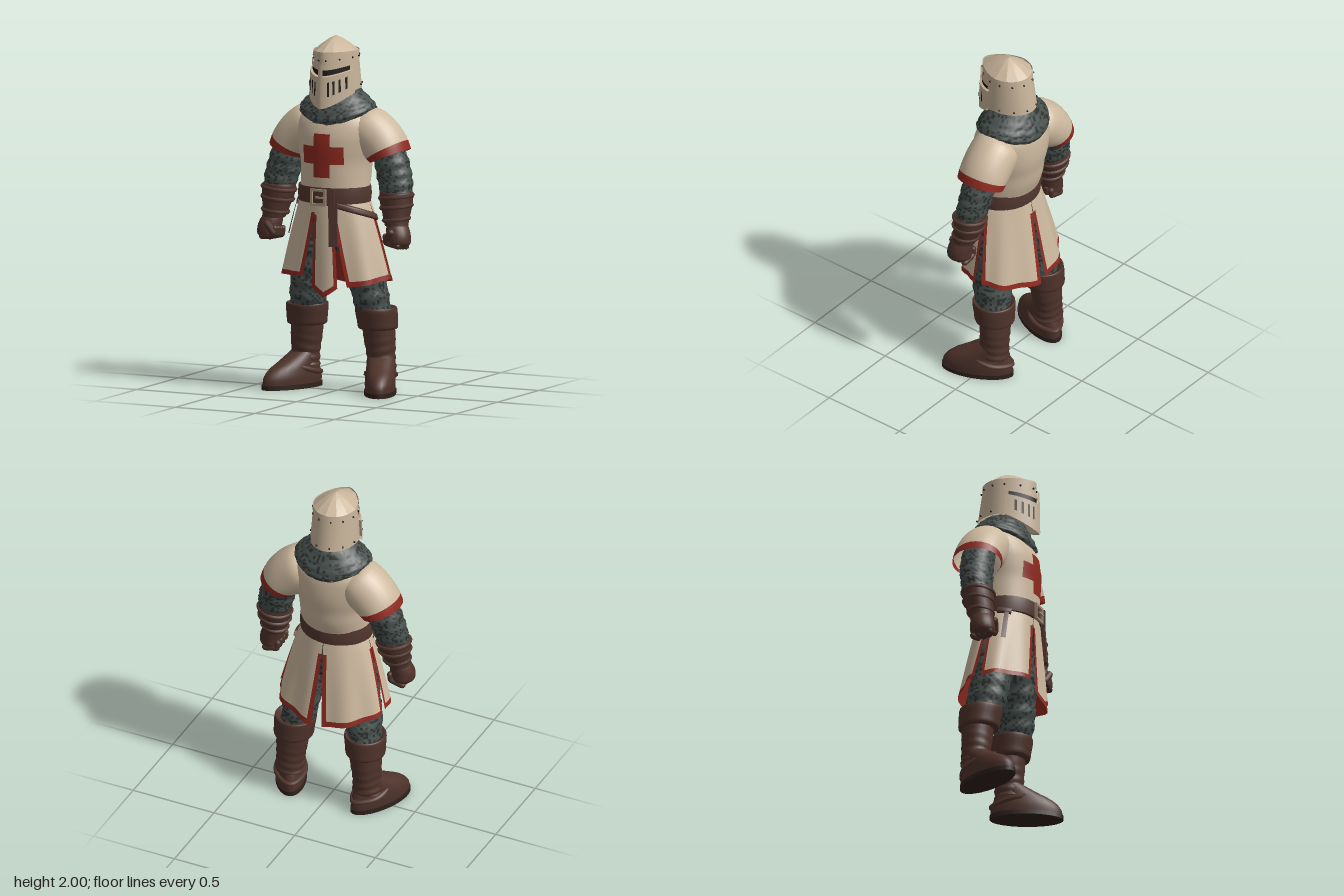
import * as THREE from 'three';
import { toCreasedNormals } from 'three/addons/utils/BufferGeometryUtils.js';

const { sin, cos, abs, sign, pow, sqrt, max, min, floor, PI } = Math;
const mat = (name, color, side = THREE.DoubleSide) => {
  const m = new THREE.MeshStandardMaterial({ color, side });
  m.name = name;
  return m;
};

// Catmull-Rom blend through rows of numbers, t in 0..1
function at(rows, t) {
  const n = rows.length - 1, f = min(max(t, 0), 1) * n, i = min(floor(f), n - 1), s = f - i;
  const [a, b, c, d] = [max(i - 1, 0), i, i + 1, min(i + 2, n)].map(k => rows[k]);
  return b.map((_, k) => b[k] + 0.5 * s * (c[k] - a[k] + s * (2 * a[k] - 5 * b[k] + 4 * c[k] - d[k]
    + s * (3 * (b[k] - c[k]) + d[k] - a[k]))));
}

// Surface from fn(u, v) -> [x, y, z]; u runs left to right, v downward; pick chooses a material per cell
function skin(fn, nu, nv, pick = () => 0, count = 1, wrap = false) {
  const cols = wrap ? nu : nu + 1, pos = [], lists = Array.from({ length: count }, () => []);
  for (let j = 0; j <= nv; j++) for (let i = 0; i < cols; i++) pos.push(...fn(i / nu, j / nv));
  for (let j = 0; j < nv; j++) for (let i = 0; i < nu; i++) {
    const k = (i + 1) % cols, a = j * cols + i, d = j * cols + k;
    lists[pick(i, j, nu, nv)].push(a, a + cols, d, a + cols, d + cols, d);
  }
  const g = new THREE.BufferGeometry();
  g.setAttribute('position', new THREE.Float32BufferAttribute(pos, 3));
  g.setIndex(lists.flat());
  let start = 0;
  if (count > 1) lists.forEach((l, m) => { g.addGroup(start, l.length, m); start += l.length; });
  g.computeVertexNormals();
  return g;
}

// Limb ring [cx, cy, cz, r, rz, tilt]
const ring = (k, a, o = 0) => {
  const [x, y, z, r, rz, th = 0] = k, w = (r + o) * sin(a);
  return [x + w * cos(th), y + w * sin(th), z + (rz + o) * cos(a)];
};
const limb = (rows, nu, nv, bump = () => 0, pick, count) =>
  skin((u, v) => ring(at(rows, v), u * 2 * PI, bump(u, v)), nu, nv, pick, count, true);

// Wriggling dark flecks that read as chain mail
const mailPick = (i, j) => sin(i * 1.7 + 3 * sin(j * 0.9)) * sin(j * 1.3 + 2 * sin(i * 0.7)) > 0.3 ? 1 : 0;
const mailBump = (u, v) => 0.003 * sin(u * 88) * sin(v * 75) + 0.003 * sin(v * 34 + 2 * sin(u * 6.283));

const torsoRows = [
  [0, 1.62, -0.02, 0.15, 0.13], [0, 1.54, -0.01, 0.235, 0.172], [0, 1.46, 0, 0.24, 0.192], [0, 1.38, 0.005, 0.225, 0.195],
  [0, 1.30, 0.012, 0.205, 0.188], [0, 1.22, 0.018, 0.2, 0.182], [0, 1.14, 0.03, 0.198, 0.168]];

const skirtPoint = (a, y, o = 0) => {
  const v = max(0, (1.1 - y) / 0.5), r = o + 0.01 * v * sin(a * 9);
  return [(0.195 + 0.14 * pow(v, 0.85) + r) * sin(a), y, 0.03 * (1 - v) + (0.165 + 0.06 * v + r) * cos(a)];
};

// Helmet wall: keeled in front, round behind, t from rim (0) to lower edge (1)
const helmPoint = (a, t, o = 0, grow = 1) => {
  const s = sin(a), c = cos(a), e = c > 0 ? 1.25 : 1;
  const x = sign(s) * pow(abs(s), e) * (0.122 + 0.013 * t + o) * grow;
  const zr = sign(c) * pow(abs(c), e) * (c > 0 ? 0.17 + 0.005 * t + o : 0.135 + 0.035 * t + o) * grow;
  return [x, 1.92 - 0.215 * t - 0.09 * t * pow(max(zr, 0) / 0.18, 1.4), 0.02 + zr];
};

export function createModel() {
  const root = new THREE.Group();
  root.name = 'knight';
  const cloth = mat('cream cloth', 0xcdb99f), helm = mat('helmet metal', 0xc8b49a), red = mat('red trim', 0x8f2a20);
  const lining = mat('red lining', 0x8f2a20, THREE.BackSide), clothOut = mat('outer cream cloth', 0xcdb99f, THREE.FrontSide);
  const trimOut = mat('outer red trim', 0x8f2a20, THREE.FrontSide);
  const mail = mat('mail', 0x48514e), mailDark = mat('dark mail', 0x2d3331), belt = mat('belt leather', 0x53372f);
  const boot = mat('boot leather', 0x4f332b), sole = mat('dark sole', 0x2f211d), dark = mat('openings', 0x1c1816);
  const buckle = mat('buckle metal', 0xa8937c), mails = [mail, mailDark];

  const add = (name, g, m, p = [0, 0, 0], r = [0, 0, 0], s = [1, 1, 1]) => {
    g.applyMatrix4(new THREE.Matrix4().compose(new THREE.Vector3(...p),
      new THREE.Quaternion().setFromEuler(new THREE.Euler(...r)), new THREE.Vector3(...s)));
    const mesh = new THREE.Mesh(g, m);
    mesh.name = name;
    root.add(mesh);
    return mesh;
  };
  // Left part plus its mirror image
  const pair = (name, g, m, ...place) => {
    const left = add(name + 'Left', g, m, ...place), h = left.geometry.clone().scale(-1, 1, 1);
    const n = h.index ? h.index.count : h.attributes.position.count;
    const id = Array.from({ length: n }, (_, i) => h.index ? h.index.getX(i) : i);
    for (let i = 0; i < n; i += 3) [id[i + 1], id[i + 2]] = [id[i + 2], id[i + 1]];
    h.setIndex(id);
    add(name + 'Right', h, m);
  };

  // Tunic body and chest cross
  add('tunicBody', limb(torsoRows, 40, 24), cloth);
  const chest = (x0, x1, y0, y1) => skin((u, v) => {
    const x = x0 + (x1 - x0) * u, y = y1 + (y0 - y1) * v, [, , cz, rx, rz] = at(torsoRows, (1.62 - y) / 0.48);
    return [x, y, cz + rz * sqrt(1 - (x / rx) ** 2) + 0.005];
  }, 14, 8);
  add('crossUpright', chest(-0.05, 0.05, 1.22, 1.465), red);
  add('crossArmLeft', chest(0.05, 0.125, 1.295, 1.395), red);
  add('crossArmRight', chest(-0.125, -0.05, 1.295, 1.395), red);

  // Short sleeves with red hems
  pair('sleeve', limb([[0.13, 1.48, -0.02, 0.115, 0.13, 1.25], [0.175, 1.475, -0.025, 0.135, 0.14, 1.1],
    [0.235, 1.43, -0.028, 0.138, 0.142, 0.85], [0.285, 1.38, -0.03, 0.128, 0.142, 0.55], [0.315, 1.335, -0.03, 0.115, 0.14, 0.38]],
  28, 16, () => 0, (i, j) => j > 12 ? 1 : 0, 2), [cloth, red]);

  // Mail arms, bracers and gauntlets
  pair('mailArm', limb([[0.27, 1.45, -0.025, 0.09, 0.09], [0.32, 1.32, -0.025, 0.1, 0.092],
    [0.35, 1.21, -0.015, 0.101, 0.088], [0.37, 1.11, 0, 0.088, 0.08]], 40, 26, mailBump, mailPick, 2), mails);
  pair('bracer', limb([[0.366, 1.13, 0, 0.07, 0.065], [0.366, 1.142, 0, 0.094, 0.086], [0.369, 1.09, 0.004, 0.095, 0.087],
    [0.374, 1.04, 0.012, 0.084, 0.08], [0.38, 0.98, 0.025, 0.07, 0.07], [0.385, 0.955, 0.03, 0.066, 0.066]], 24, 18), boot);
  [[0.368, 1.115, 0.002, 0.093], [0.372, 1.06, 0.008, 0.087], [0.379, 0.99, 0.022, 0.072]].forEach(([x, y, z, r]) =>
    pair('bracerStrap', new THREE.TorusGeometry(r, 0.012, 6, 24), belt, [x, y, z], [PI / 2, 0.12, 0], [1, 0.95, 1]));
  pair('fist', limb([[0.385, 0.97, 0.03, 0.055, 0.058], [0.395, 0.94, 0.038, 0.064, 0.066], [0.405, 0.895, 0.045, 0.068, 0.07],
    [0.405, 0.85, 0.045, 0.06, 0.064], [0.4, 0.825, 0.045, 0.002, 0.002]], 20, 14), boot);
  for (let i = 0; i < 4; i++) {
    pair('finger', new THREE.CapsuleGeometry(0.019, 0.065, 3, 8), boot, [0.392, 0.845 + 0.004 * i, -0.005 + 0.033 * i], [0, 0, 1.35]);
    pair('fingerTip', new THREE.CapsuleGeometry(0.017, 0.035, 3, 8), boot, [0.35, 0.87 + 0.004 * i, -0.005 + 0.033 * i], [0, 0, 0.15]);
  }
  pair('thumb', new THREE.CapsuleGeometry(0.021, 0.06, 3, 8), boot, [0.37, 0.9, 0.103], [0.25, 0, -0.6]);

  // Mail collar, drooping at front and back
  const collar = [[0, 1.72, -0.01, 0.09, 0.09], [0, 1.7, -0.01, 0.122, 0.125], [0, 1.655, -0.01, 0.175, 0.155],
    [0, 1.62, -0.01, 0.212, 0.178], [0, 1.59, -0.008, 0.221, 0.189], [0, 1.575, -0.008, 0.205, 0.176]];
  add('mailCollar', skin((u, v) => {
    const a = u * 2 * PI, p = ring(at(collar, v), a, mailBump(u, v));
    p[1] -= (cos(a) > 0 ? 0.068 : 0.05) * cos(a) ** 2 * v;
    return p;
  }, 72, 18, mailPick, 2, true), mails);

  // Great helm: crown, wall, visor plate, bands and openings
  const patch = (a0, a1, t0, t1, o, nu = 20, nv = 4) =>
    skin((u, v) => helmPoint(a0 + (a1 - a0) * u, t0 + (t1 - t0) * v, o), nu, nv);
  add('helmetWall', toCreasedNormals(skin((u, v) => helmPoint(u * 2 * PI, v), 40, 10, undefined, 1, true), 0.5), helm);
  add('helmetCrown', toCreasedNormals(skin((u, v) => {
    const p = helmPoint(u * 2 * PI, 0, 0.003, max(v, 0.002));
    return [p[0], 1.917 + 0.083 * (1 - pow(v, 1.3)), p[2]];
  }, 12, 3, undefined, 1, true), 0.25), helm);
  add('rimBand', skin((u, v) => helmPoint(u * 2 * PI, -0.01 + 0.1 * v, 0.004), 40, 2, undefined, 1, true), helm);
  add('eyeSlit', patch(-1.15, 1.15, 0.33, 0.43, 0.003), dark);
  add('browBand', patch(-1.3, 1.3, 0.22, 0.32, 0.008), helm);
  add('visorPlate', patch(-1.25, 1.25, 0.44, 1, 0.017, 24, 6), helm);
  add('visorTopEdge', skin((u, v) => helmPoint(-1.25 + 2.5 * u, 0.44, 0.017 * v), 24, 1), helm);
  add('visorLowerEdge', skin((u, v) => helmPoint(-1.25 + 2.5 * u, 1, 0.017 * (1 - v)), 24, 1), helm);
  add('noseRidge', patch(-0.16, 0.16, 0.2, 0.98, 0.022, 4, 8), helm);
  [0.36, 0.54, 0.73, 0.94].forEach(a => pair('breathSlot', patch(a - 0.035, a + 0.035, 0.54, 0.8, 0.021, 2, 4), dark));
  for (let i = 0; i < 6; i++) {
    const a = 0.25 + i * 0.52;
    [[a, 0.15], [a, 0.9]].forEach(([b, t]) => {
      if (t < 0.5 || b > 1.3) pair('rivet', new THREE.SphereGeometry(0.006, 6, 4), dark, helmPoint(b, t, 0.005));
    });
  }

  // Skirt panels [top from, top to, hem from, hem to, hem heights, point, columns]
  const panels = [['frontPanel', -0.2, 0.32, -0.15, 0.33, 0.605, 0.605, 0.055, 8],
    ['sidePanelLeft', 0.27, 1.64, 0.5, 1.6, 0.61, 0.65, 0, 16], ['sidePanelRight', -1.64, -0.18, -1.6, -0.36, 0.64, 0.66, 0, 16],
    ['backPanelLeft', 1.64, 3.14, 1.78, 3.05, 0.64, 0.57, 0, 16], ['backPanelRight', -3.14, -1.64, -3.05, -1.78, 0.57, 0.64, 0, 16]];
  const hemPick = (i, j, nu, nv) => (i === 0 || i === nu - 1) && j > 2 || j === nv - 1 ? 1 : 0;
  panels.forEach(([name, a0, a1, b0, b1, h0, h1, tip, nu]) => {
    const g = skin((u, v) => {
      const a = (a0 + (a1 - a0) * u) * (1 - v) + (b0 + (b1 - b0) * u) * v;
      const hem = h0 + (h1 - h0) * u - tip * (1 - abs(2 * u - 1));
      return skirtPoint(a, 1.1 + (hem - 1.1) * v, name === 'frontPanel' ? 0.004 : 0);
    }, nu, 17, hemPick, 2);
    add(name, g, [clothOut, trimOut]);
    add(name + 'Lining', g.clone(), [lining, lining]);
  });

  // Belt, buckle and hanging straps
  add('belt', toCreasedNormals(skin((u, v) => {
    const k = [[1.16, -0.02], [1.165, 0], [1.12, 0.005], [1.075, 0], [1.07, -0.02]][Math.round(v * 4)];
    return ring([0, k[0], 0.035, 0.208, 0.175], u * 2 * PI, k[1]);
  }, 40, 4, undefined, 1, true), 0.6), belt);
  const frame = new THREE.Shape().moveTo(-0.048, -0.047).lineTo(0.048, -0.047).lineTo(0.048, 0.047).lineTo(-0.048, 0.047).closePath();
  frame.holes.push(new THREE.Path().moveTo(-0.035, -0.034).lineTo(-0.035, 0.034).lineTo(0.035, 0.034).lineTo(0.035, -0.034).closePath());
  add('buckleFrame', new THREE.ExtrudeGeometry(frame, { depth: 0.014, bevelEnabled: false }), buckle, [-0.01, 1.11, 0.21]);
  add('bucklePin', new THREE.BoxGeometry(0.06, 0.01, 0.01), buckle, [0.005, 1.11, 0.224]);
  add('beltLoop', new THREE.BoxGeometry(0.022, 0.1, 0.02), belt, [0.075, 1.115, 0.207], [0, 0.3, 0]);
  add('beltEnd', new THREE.BoxGeometry(0.05, 0.25, 0.016), belt, [0.08, 0.965, 0.212], [-0.07, 0.2, 0.04]);
  const strap = (name, a0, a1, y0, y1, h) => add(name, skin((u, v) =>
    skirtPoint(a0 + (a1 - a0) * u, y0 + (y1 - y0) * u + h * (0.5 - v), 0.015 - 0.02 * abs(2 * v - 1) ** 6), 16, 8), belt);
  strap('hipStrapLeft', 0.15, 1.75, 1.085, 0.99, 0.045);
  strap('hipStrapRight', -1.45, -1.0, 1.08, 1.07, 0.045);
  add('sideStrap', skin((u, v) => skirtPoint(-1.2 + 0.13 * u, 1.08 - 0.2 * v, 0.013), 3, 6), belt);

  // Mail hips and legs
  add('mailHips', limb([[0, 1.08, 0.02, 0.17, 0.14], [0, 0.95, 0.01, 0.2, 0.14], [0, 0.84, 0, 0.19, 0.12], [0, 0.78, 0, 0.01, 0.01]],
    48, 16, () => 0, mailPick, 2), mails);
  pair('mailLeg', limb([[0.11, 0.95, 0.005, 0.1, 0.12], [0.145, 0.8, 0.005, 0.108, 0.122], [0.175, 0.66, -0.005, 0.102, 0.117],
    [0.195, 0.54, -0.02, 0.1, 0.113], [0.21, 0.43, -0.04, 0.09, 0.1]], 44, 34, mailBump, mailPick, 2), mails);

  // Boots: cuff, wrinkled shaft, foot, strap and sole
  pair('bootCuff', limb([[0.212, 0.46, -0.045, 0.088, 0.09], [0.214, 0.478, -0.046, 0.112, 0.115], [0.216, 0.46, -0.047, 0.118, 0.122],
    [0.22, 0.4, -0.054, 0.114, 0.116], [0.222, 0.36, -0.058, 0.11, 0.112], [0.223, 0.352, -0.06, 0.085, 0.085]], 28, 15), boot);
  pair('bootShaft', limb([[0.222, 0.39, -0.06, 0.092, 0.09], [0.228, 0.3, -0.065, 0.09, 0.086], [0.236, 0.2, -0.068, 0.08, 0.082],
    [0.24, 0.12, -0.066, 0.083, 0.086]], 28, 24, (u, v) => 0.006 * max(0, v - 0.2) * sin(v * 36 + 2 * sin(u * 6.283))), boot);
  const place = [[0.238, 0, -0.065], [0, 0.42, 0]];
  pair('foot', limb([[0, 0.2, 0, 0.076, 0.082], [0, 0.15, 0.045, 0.08, 0.125], [0, 0.11, 0.075, 0.083, 0.168],
    [0, 0.065, 0.09, 0.086, 0.196], [0, 0.022, 0.093, 0.083, 0.2]], 28, 14), boot, ...place);
  const loop = [[0, 0.075, -0.105], [0.075, 0.09, -0.02], [0.075, 0.115, 0.07], [0, 0.152, 0.148], [-0.075, 0.115, 0.07], [-0.075, 0.09, -0.02]];
  pair('footStrap', new THREE.TubeGeometry(new THREE.CatmullRomCurve3(loop.map(p => new THREE.Vector3(...p)), true), 36, 0.014, 6, true),
    belt, ...place);
  pair('bootSole', new THREE.CylinderGeometry(1, 1, 0.026, 28), sole, [0.238 + 0.093 * sin(0.42), 0.013, -0.065 + 0.093 * cos(0.42)],
    [0, 0.42, 0], [0.089, 1, 0.206]);
  return root;
}
